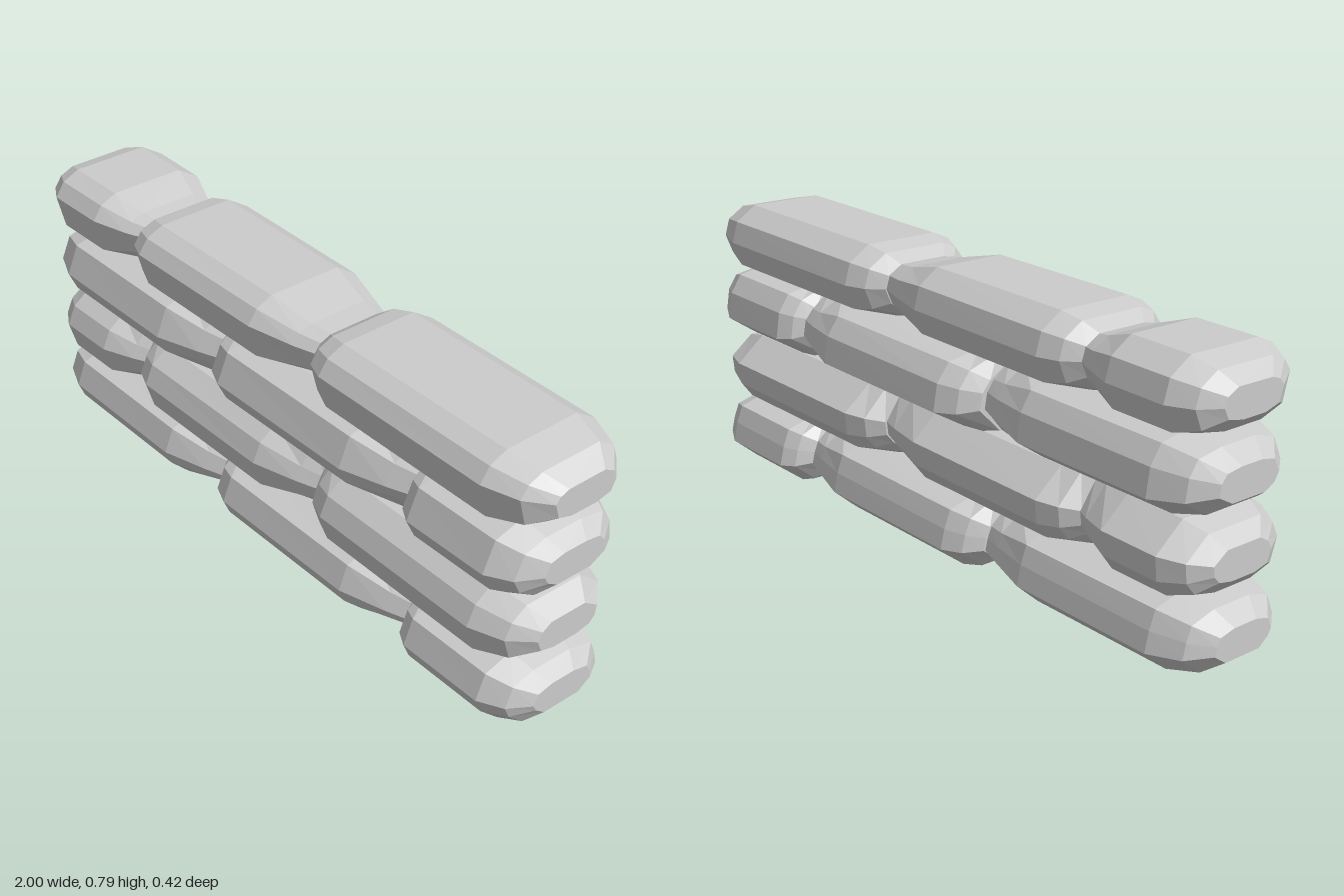
import * as THREE from 'three';

const material = new THREE.MeshStandardMaterial({ color: 0xcccccc, flatShading: true });

// Cross-sections [z, y] per course: top front, down the front, bottom, up the back
const profiles = [
  [[.09, .195], [.172, .17], [.2, .1], [.18, .055], [.12, 0], [-.11, 0], [-.188, .065], [-.175, .12], [-.155, .17], [-.06, .195]],
  [[.12, .395], [.175, .355], [.2, .3], [.175, .22], [.09, .195], [-.06, .195], [-.145, .215], [-.18, .26], [-.187, .325], [-.1, .395]],
  [[.09, .595], [.172, .572], [.207, .49], [.18, .435], [.12, .395], [-.1, .395], [-.192, .455], [-.18, .53], [-.145, .58], [-.05, .595]],
  [[.125, .785], [.175, .762], [.203, .722], [.178, .625], [.09, .595], [-.06, .595], [-.155, .62], [-.183, .69], [-.165, .75], [-.1, .79]],
];

// Fullness of the back of each bag
const backs = [[.97, 1, 1], [1, .97, 1], [.98, 1.09, .96], [1, .97, .98]];

// End shapes: [distance from the end, height scale, depth scale, height scale against a neighbouring course]
const freeEnd = [[0, .42, .5, .42], [.05, .78, .8, .78], [.14, 1, .98, 1]];
const fullEnd = [[0, .6, .66, .93], [.04, .86, .88, 1], [.1, 1, 1, 1]];
const tiedEnd = [[0, .58, .63, .93], [.07, .68, .76, .96], [.2, 1, .96, 1]];

// Loft one bag from x0 to x1 through scaled copies of its cross-section
function bagGeometry(row, x0, x1, start, end, back) {
  const profile = profiles[row];
  const squeeze = Math.min(1, (x1 - x0) / .6);
  const midY = (profile[0][1] + profile[4][1]) / 2;
  const stations = [
    ...start.map(([d, ...scales]) => [x0 + d * squeeze, ...scales]),
    ...end.map(([d, ...scales]) => [x1 - d * squeeze, ...scales]).reverse(),
  ];
  const n = profile.length;
  // Flat tops and bottoms stay pressed against the courses above and below
  const pressed = i => ((i === 0 || i === n - 1) && row < 3) || ((i === 4 || i === 5) && row > 0);
  const rings = stations.map(([x, sy, sz, hug]) => profile.map(([z, y], i) =>
    [x, midY + (y - midY) * (pressed(i) ? hug : sy), z * sz * (z < 0 ? back : 1)]));
  const positions = [];
  const tri = (a, b, c) => positions.push(...a, ...b, ...c);
  for (let s = 0; s < rings.length - 1; s++) {
    const a = rings[s], b = rings[s + 1];
    for (let i = 0; i < n; i++) {
      const j = (i + 1) % n;
      tri(a[i], a[j], b[j]);
      tri(a[i], b[j], b[i]);
    }
  }
  // End caps, fanned from the middle so they close cleanly
  const first = rings[0], last = rings[rings.length - 1];
  for (let i = 0; i < n; i++) {
    const j = (i + 1) % n;
    tri([x0, midY, 0], first[j], first[i]);
    tri([x1, midY, 0], last[i], last[j]);
  }
  const geometry = new THREE.BufferGeometry();
  geometry.setAttribute('position', new THREE.Float32BufferAttribute(positions, 3));
  geometry.computeVertexNormals();
  return geometry;
}

export function createModel() {
  const wall = new THREE.Group();
  wall.name = 'sandbagWall';
  // Joints alternate from course to course
  const joints = [
    [-1, -.215, .565, .99],
    [-.985, -.575, .205, .985],
    [-.99, -.215, .565, .99],
    [-.99, -.565, .2, 1],
  ];
  joints.forEach((xs, row) => {
    const course = new THREE.Group();
    course.name = `course${row + 1}`;
    for (let k = 0; k < 3; k++) {
      const start = k === 0 ? freeEnd : fullEnd;
      const end = k === 2 ? freeEnd : tiedEnd;
      const overlap = k < 2 ? .01 : 0;
      const bag = new THREE.Mesh(
        bagGeometry(row, xs[k], xs[k + 1] + overlap, start, end, backs[row][k]), material);
      bag.name = `sandbag${row + 1}_${k + 1}`;
      course.add(bag);
    }
    wall.add(course);
  });
  return wall;
}
